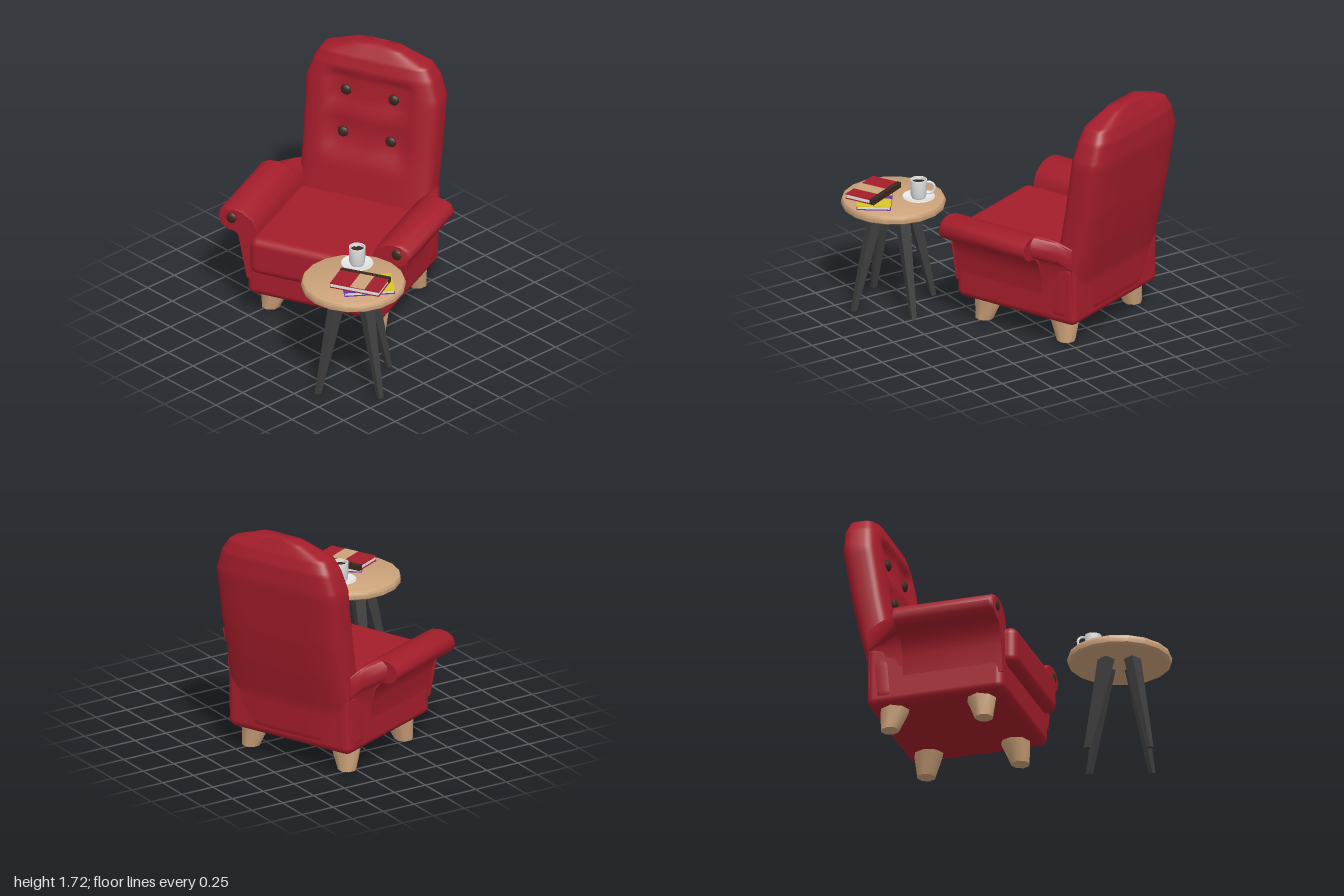
import * as THREE from 'three';
import { toCreasedNormals } from 'three/addons/utils/BufferGeometryUtils.js';
import { RoundedBoxGeometry } from 'three/addons/geometries/RoundedBoxGeometry.js';

const mat = (name, color, side = THREE.FrontSide) => {
  const m = new THREE.MeshStandardMaterial({ color, side });
  m.name = name;
  return m;
};

// Skin over equal-length rings of [x, y, z], capped at both ends, facing outward
function loft(rings, crease = 0.7) {
  const n = rings[0].length, pos = rings.flat(2), idx = [];
  rings.slice(1).forEach((_, r) => {
    for (let i = 0; i < n; i++) {
      const a = r * n + i, b = r * n + (i + 1) % n;
      idx.push(a, b, a + n, b, b + n, a + n);
    }
  });
  [0, rings.length - 1].forEach((r, end) => {
    const c = pos.length / 3;
    for (let k = 0; k < 3; k++) pos.push(rings[r].reduce((s, p) => s + p[k], 0) / n);
    for (let i = 0; i < n; i++) {
      const a = r * n + i, b = r * n + (i + 1) % n;
      idx.push(...(end ? [c, a, b] : [c, b, a]));
    }
  });
  const v = (i) => new THREE.Vector3().fromArray(pos, idx[i] * 3);
  let volume = 0;
  for (let i = 0; i < idx.length; i += 3) volume += v(i).dot(v(i + 1).cross(v(i + 2)));
  if (volume < 0) idx.reverse();
  const g = new THREE.BufferGeometry();
  g.setAttribute('position', new THREE.Float32BufferAttribute(pos, 3));
  g.setIndex(idx);
  return toCreasedNormals(g, crease);
}

export function createModel() {
  const red = mat('red fabric', 0xa51d2b), wood = mat('light wood', 0xcba279);
  const brown = mat('dark brown', 0x3a281e), grey = mat('dark grey', 0x3e3e3e);
  const white = mat('white', 0xe6e6e6, THREE.DoubleSide);
  const yellow = mat('yellow', 0xd8c62a), purple = mat('purple', 0x6a32b4);

  const model = new THREE.Group();
  const add = (parent, name, geo, m, x = 0, y = 0, z = 0) => {
    const mesh = new THREE.Mesh(geo, m);
    mesh.name = name;
    mesh.position.set(x, y, z);
    parent.add(mesh);
    return mesh;
  };
  const group = (parent, name, x, y, z, turn = 0) => {
    const g = new THREE.Group();
    g.name = name;
    g.position.set(x, y, z);
    g.rotation.y = turn;
    parent.add(g);
    return g;
  };

  // ---- Armchair, turned toward the table ----
  const chair = group(model, 'armchair', -0.15, 0, 0.064, 0.4);
  add(chair, 'base', new RoundedBoxGeometry(1.02, 0.45, 0.99, 3, 0.055), red, 0, 0.395, -0.225);
  add(chair, 'seatCushion', new RoundedBoxGeometry(0.92, 0.28, 0.87, 4, 0.06), red, 0, 0.52, -0.085);

  // Backrest: rounded cross-sections [y, half width, front, rear] with a tufted front
  const rows = [[0.18, 0.47, -0.45, -0.68], [0.24, 0.512, -0.46, -0.722], [0.47, 0.512, -0.48, -0.735],
    [0.75, 0.495, -0.53, -0.81], [1, 0.5, -0.575, -0.865], [1.4, 0.505, -0.635, -0.93],
    [1.55, 0.455, -0.66, -0.93], [1.63, 0.405, -0.685, -0.905], [1.715, 0.18, -0.74, -0.865]];
  const step = THREE.MathUtils.smoothstep;
  const tuft = (x, y) => {
    const ax = Math.abs(x);
    const pad = (1 - step(ax, 0.26, 0.36)) * step(y, 0.84, 1.02) * (1 - step(y, 1.46, 1.55));
    const ridges = 0.02 * Math.exp(-((y - 1.21) ** 2) / 0.002) + 0.015 * Math.exp(-(x * x) / 0.004);
    const dimple = [1.07, 1.375].reduce((s, by) =>
      s + 0.012 * Math.exp(-((ax - 0.18) ** 2 + (y - by) ** 2) / 0.006), 0);
    return pad * (0.035 - ridges + dimple);
  };
  const signedPow = (v, p) => Math.sign(v) * Math.abs(v) ** p;
  const backRings = [];
  rows.forEach((row, r) => {
    const next = rows[r + 1], steps = next ? 7 : 1;
    for (let s = 0; s < steps; s++) {
      const [y, w, f, b] = row.map((v, k) => (next ? v + (next[k] - v) * s / steps : v));
      backRings.push(Array.from({ length: 64 }, (_, i) => {
        const a = i / 64 * Math.PI * 2, x = w * signedPow(Math.cos(a), 0.5);
        const z = (f + b) / 2 + (f - b) / 2 * signedPow(Math.sin(a), 0.5);
        return [x, y, z - (Math.sin(a) > 0.3 ? tuft(x, y) : 0)];
      }));
    }
  });
  add(chair, 'backrest', loft(backRings, 1.1), red);
  for (const x of [-0.18, 0.18]) for (const [y, z] of [[1.07, -0.618], [1.375, -0.668]])
    add(chair, 'backButton', new THREE.SphereGeometry(0.04, 10, 8), brown, x, y, z).scale.z = 0.6;

  // Arms: one scroll profile [x, y], narrowing behind into the backrest
  const armProfile = [[0.43, 0.3], [0.43, 0.68], [0.46, 0.76], [0.54, 0.81], [0.6, 0.82], [0.66, 0.815],
    [0.71, 0.79], [0.73, 0.745], [0.715, 0.695], [0.67, 0.665], [0.6, 0.655], [0.55, 0.6], [0.52, 0.5], [0.505, 0.3]];
  const armStations = [[-0.7, 0.05, 0.07], [-0.6, 0.22, 0.03], [-0.45, 0.66, 0], [-0.451, 1, 0], [0.245, 1, 0], [0.267, 0.93, 0.01]];
  for (const s of [-1, 1]) {
    const side = s > 0 ? 'left' : 'right';
    add(chair, side + 'Arm', loft(armStations.map(([z, flare, drop]) => armProfile.map(([x, y]) =>
      [s * (x > 0.5 ? 0.5 + (x - 0.5) * flare : x), y > 0.6 ? y - drop : y, z])), 0.9), red);
    add(chair, side + 'ArmButton', new THREE.SphereGeometry(0.04, 10, 8), brown, s * 0.622, 0.742, 0.262).scale.z = 0.5;

    // Tapered feet, leaning outward
    for (const [z, dir] of [[0.07, 1], [-0.55, -1]]) {
      const foot = new THREE.CylinderGeometry(0.11, 0.065, 0.175, 8);
      const p = foot.attributes.position;
      for (let i = 0; i < p.count; i++)
        if (p.getY(i) < 0) p.setXYZ(i, p.getX(i) + s * 0.03, p.getY(i), p.getZ(i) + dir * 0.03);
      add(chair, side + 'Foot', toCreasedNormals(foot, 1), wood, s * 0.37, 0.1025, z);
    }
  }

  // ---- Side table ----
  const table = group(model, 'sideTable', 0.637, 0, 0.572);
  const topProfile = [[0, 0.73], [0.34, 0.73], [0.357, 0.742], [0.361, 0.77], [0.352, 0.79], [0.335, 0.8], [0, 0.8]];
  add(table, 'tableTop', toCreasedNormals(new THREE.LatheGeometry(
    topProfile.map(([x, y]) => new THREE.Vector2(x, y)), 18), 0.6), wood);
  const square = (c, h, y) => [[c - h, y, -h], [c + h, y, -h], [c + h, y, h], [c - h, y, h]];
  for (let i = 0; i < 4; i++) {
    const leg = add(table, 'tableLeg', loft([square(0.305, 0.017, 0), square(0.125, 0.042, 0.74)], 0.3), grey);
    leg.rotation.y = i * Math.PI / 2 - 0.1;
  }

  // ---- Cup and saucer ----
  const cup = group(model, 'cupAndSaucer', 0.522, 0.8, 0.43);
  const lathe = (pts) => toCreasedNormals(new THREE.LatheGeometry(pts.map(([x, y]) => new THREE.Vector2(x, y)), 20), 0.6);
  add(cup, 'saucer', lathe([[0, 0], [0.06, 0], [0.113, 0.022], [0.11, 0.028], [0.06, 0.012], [0, 0.012]]), white);
  add(cup, 'cup', lathe([[0, 0.014], [0.045, 0.014], [0.055, 0.035], [0.058, 0.15], [0.05, 0.15], [0.048, 0.11]]), white);
  const coffee = add(cup, 'coffee', new THREE.CircleGeometry(0.05, 20), brown, 0, 0.128, 0);
  coffee.rotation.x = -Math.PI / 2;
  const handle = group(cup, 'handle', 0, 0.088, 0, Math.PI - 0.55);
  add(handle, 'cupHandle', new THREE.TorusGeometry(0.042, 0.009, 6, 14), white, 0.068, 0, 0);

  // ---- Books: pages between covers, with thin coloured bands on top ----
  const box = (p, name, m, w, h, d, x, y, z) => add(p, name, new THREE.BoxGeometry(w, h, d), m, x, y, z);
  const lower = group(model, 'lowerBook', 0.785, 0.8, 0.575, 0.95);
  box(lower, 'lowerPages', white, 0.338, 0.02, 0.22, 0, 0.014, 0);
  box(lower, 'lowerBackCover', purple, 0.35, 0.005, 0.235, 0, 0.0025, 0);
  box(lower, 'lowerCover', yellow, 0.35, 0.005, 0.235, 0, 0.0265, 0);
  box(lower, 'purpleBand', purple, 0.05, 0.002, 0.236, 0.01, 0.0295, 0);
  box(lower, 'purpleEnd', purple, 0.08, 0.002, 0.236, -0.1355, 0.0295, 0);

  const upper = group(model, 'upperBook', 0.767, 0.831, 0.63, 0.46);
  box(upper, 'upperPages', white, 0.346, 0.026, 0.208, 0, 0.018, 0);
  for (const y of [0.0025, 0.0335]) box(upper, 'upperCover', red, 0.36, 0.005, 0.22, 0, y, 0);
  box(upper, 'tanBand', wood, 0.105, 0.002, 0.221, 0.02, 0.0365, 0);
  box(upper, 'spine', brown, 0.362, 0.039, 0.032, 0, 0.0195, -0.1);

  return model;
}
